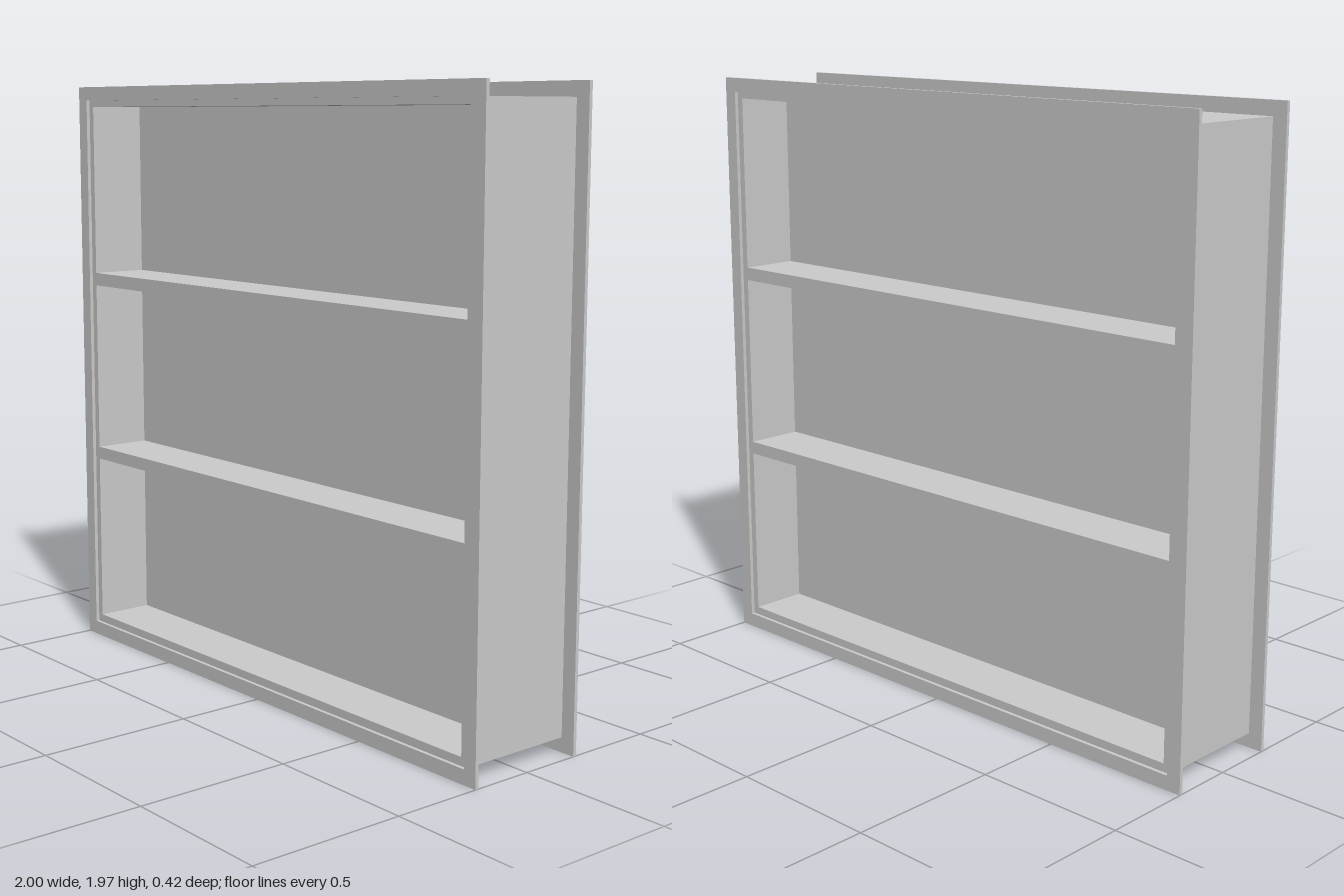
import * as THREE from 'three';

const material = new THREE.MeshStandardMaterial({ color: 0xcccccc, flatShading: true });

// Adds a closed rectangle to a shape or path
function rect(path, x, y0, y1) {
  path.moveTo(-x, y0);
  path.lineTo(x, y0);
  path.lineTo(x, y1);
  path.lineTo(-x, y1);
  path.closePath();
  return path;
}

// Rectangular plate with rectangular openings, extruded between z0 and z1
function plate(name, outer, holes, z0, z1) {
  const shape = rect(new THREE.Shape(), ...outer);
  for (const hole of holes) shape.holes.push(rect(new THREE.Path(), ...hole));
  const geometry = new THREE.ExtrudeGeometry(shape, { depth: z1 - z0, bevelEnabled: false });
  geometry.translate(0, 0, z0);
  const mesh = new THREE.Mesh(geometry, material);
  mesh.name = name;
  return mesh;
}

export function createModel() {
  const group = new THREE.Group();
  group.name = 'shelfFrame';

  const body = [0.953, 0.047, 1.922];
  const bodyZ = 0.197, flangeZ = 0.209;

  // Case with two shelves between three openings
  const openings = [[0.074, 0.653], [0.696, 1.277], [1.321, 1.9]];
  group.add(plate('caseAndShelves', body, openings.map(([a, b]) => [0.93, a, b]), -bodyZ, bodyZ));

  // Thin flanges around the front and back rims
  const rim = [1, 0, 1.968];
  group.add(plate('frontFlange', rim, [body], bodyZ, flangeZ));
  group.add(plate('backFlange', rim, [body], -flangeZ, -bodyZ));

  // Dividing panels halfway through each bay
  for (const [a, b] of openings) {
    const panel = new THREE.Mesh(new THREE.BoxGeometry(1.86, b - a, 0.006), material);
    panel.name = 'dividingPanel';
    panel.position.set(0, (a + b) / 2, 0);
    group.add(panel);
  }
  return group;
}
